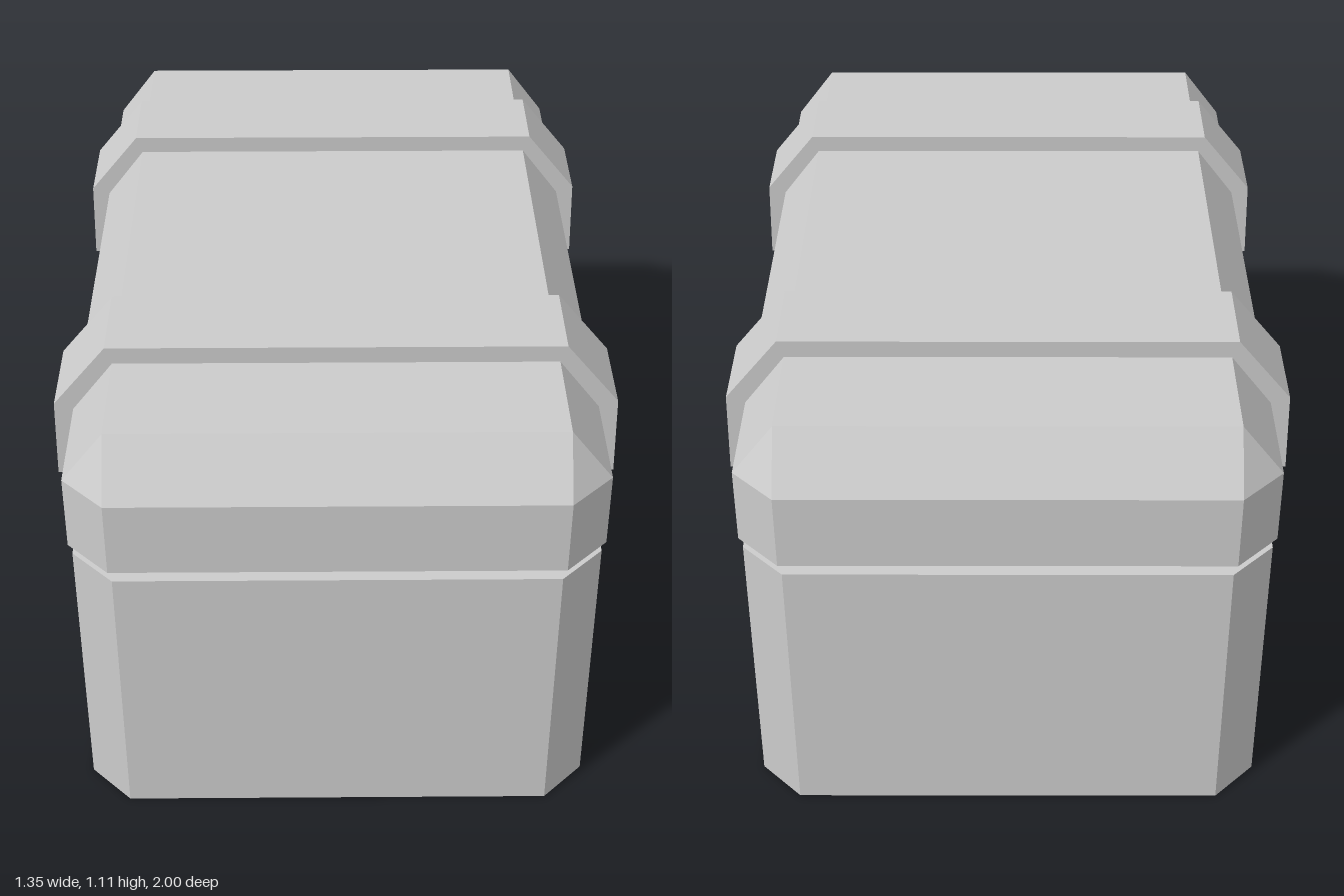
import * as THREE from 'three';
import { ConvexGeometry } from 'three/addons/geometries/ConvexGeometry.js';

const material = new THREE.MeshStandardMaterial({ color: 0xcccccc, flatShading: true });

// Corners of a rectangle with its corners cut off, counter-clockwise
function cutCorners(a, b, cut) {
  return [
    [a, -b + cut], [a, b - cut], [a - cut, b], [-a + cut, b],
    [-a, b - cut], [-a, -b + cut], [-a + cut, -b], [a - cut, -b],
  ];
}

function extrude(points, depth) {
  const shape = new THREE.Shape(points.map(([x, y]) => new THREE.Vector2(x, y)));
  return new THREE.ExtrudeGeometry(shape, { depth, bevelEnabled: false });
}

// Upright block with cut corners, from y0 to y1
function block(halfX, halfZ, cut, y0, y1) {
  return extrude(cutCorners(halfX, halfZ, cut), y1 - y0).rotateX(-Math.PI / 2).translate(0, y0, 0);
}

export function createModel() {
  const chest = new THREE.Group();
  chest.name = 'chest';
  const add = (name, geometry) => {
    const mesh = new THREE.Mesh(geometry, material);
    mesh.name = name;
    chest.add(mesh);
    return mesh;
  };

  // Body and the recessed neck under the lid
  add('body', block(0.617, 0.995, 0.1, 0, 0.715));
  add('neck', block(0.585, 0.957, 0.1, 0.7, 0.76));

  // Lid: straight rim, then sloping sides up to a flat rectangular top
  const lidPoints = [];
  for (const y of [0.745, 0.935]) {
    for (const [x, z] of cutCorners(0.625, 1, 0.1)) lidPoints.push(new THREE.Vector3(x, y, z));
  }
  for (const x of [-0.525, 0.525]) {
    for (const z of [-0.9, 0.9]) lidPoints.push(new THREE.Vector3(x, 1.065, z));
  }
  add('lid', new ConvexGeometry(lidPoints));

  // Straps: an arch over the lid and a strip down each side of the body
  const outer = [[0.675, 0.745], [0.67, 0.95], [0.541, 1.108]];
  const inner = [[0.6, 0.745], [0.6, 0.92], [0.51, 1.04]];
  const mirror = (points) => points.map(([x, y]) => [-x, y]).reverse();
  const arch = [...outer, ...mirror(outer), ...inner.map(([x, y]) => [-x, y]), ...[...inner].reverse()];
  const width = 0.222;
  for (const [end, z] of [['front', 0.514], ['back', -0.512]]) {
    add(end + 'LidStrap', extrude(arch, width)).position.z = z - width / 2;
    for (const [side, s] of [['Left', 1], ['Right', -1]]) {
      add(end + side + 'BodyStrap', new THREE.BoxGeometry(0.045, 0.715, width))
        .position.set(s * 0.6225, 0.3575, z);
    }
  }

  // Latch plate across the seam
  const latch = extrude(cutCorners(0.143, 0.112, 0.033), 0.045).rotateY(Math.PI / 2);
  add('latch', latch).position.set(0.602, 0.727, 0.002);

  return chest;
}
